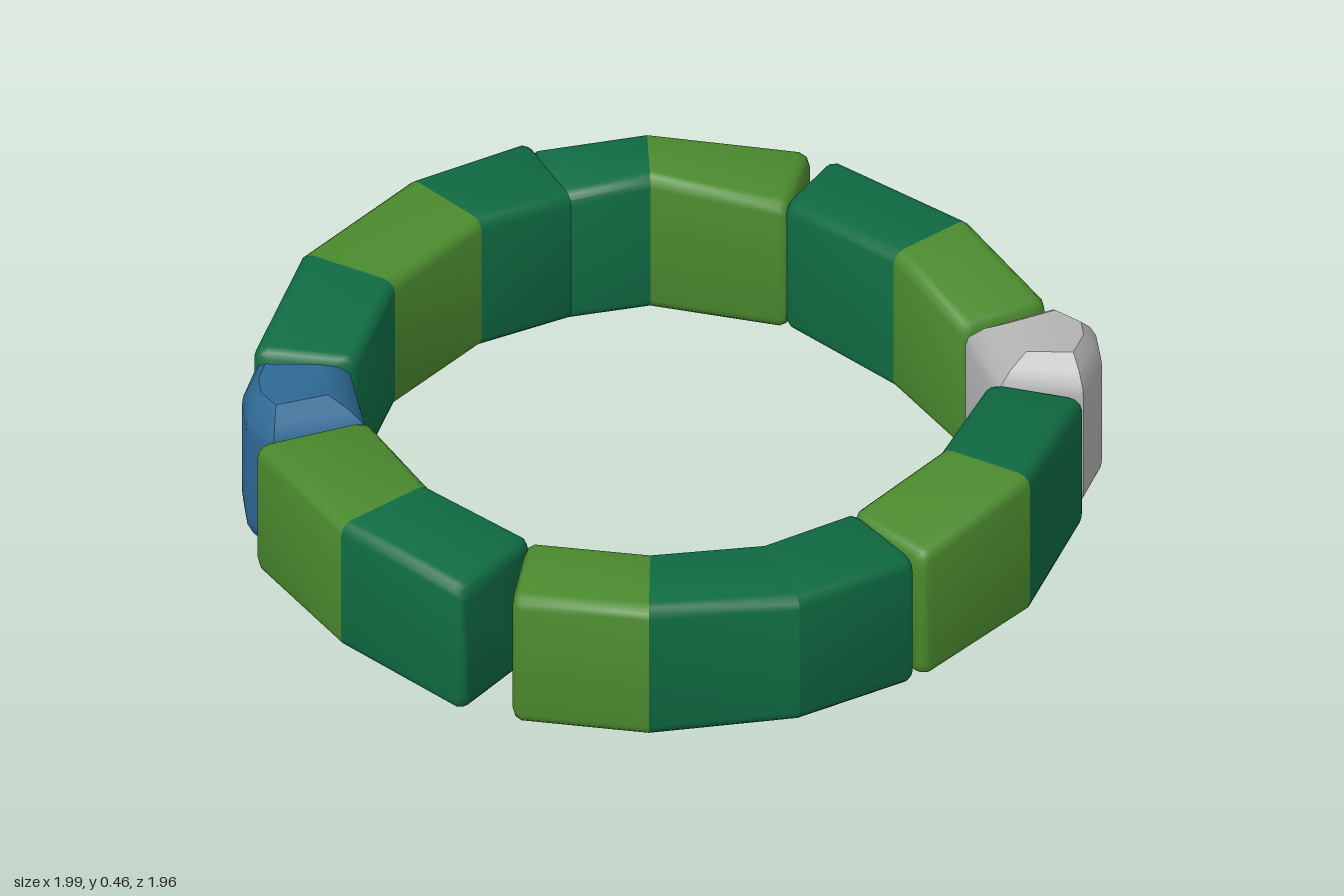
import * as THREE from 'three';
import { toCreasedNormals } from 'three/addons/utils/BufferGeometryUtils.js';

const material = (name, color) => {
  const m = new THREE.MeshStandardMaterial({ color });
  m.name = name;
  return m;
};

// Closed solid skinned over equal-length loops of points, with capped ends.
function skin(loops, crease) {
  const n = loops[0].length, tris = [];
  for (let i = 0; i < loops.length - 1; i++) {
    for (let j = 0; j < n; j++) {
      const k = (j + 1) % n, [a, b] = [loops[i], loops[i + 1]];
      tris.push([a[j], b[j], b[k]], [a[j], b[k], a[k]]);
    }
  }
  const first = loops[0], last = loops[loops.length - 1];
  for (let j = 1; j < n - 1; j++) {
    tris.push([first[0], first[j], first[j + 1]], [last[0], last[j + 1], last[j]]);
  }
  // turn the faces outward whatever the loop direction
  const centre = new THREE.Vector3();
  loops.flat().forEach((p) => centre.add(p));
  centre.divideScalar(loops.length * n);
  const d = (p) => p.clone().sub(centre);
  const volume = tris.reduce((s, [a, b, c]) => s + d(a).dot(d(b).cross(d(c))), 0);
  const points = tris.flatMap(([a, b, c]) => (volume > 0 ? [a, b, c] : [a, c, b]));
  return toCreasedNormals(new THREE.BufferGeometry().setFromPoints(points), crease);
}

// Rounded upright section at a station: outer x, z, inner x, z, half height.
function section([ox, oz, ix, iz, half], inset) {
  const mid = new THREE.Vector2((ox + ix) / 2, (oz + iz) / 2);
  const dir = new THREE.Vector2(ox - ix, oz - iz);
  const w = dir.length() / 2 - inset, h = half - inset, r = 0.032;
  dir.normalize();
  const loop = [];
  [[1, 1], [-1, 1], [-1, -1], [1, -1]].forEach(([sx, sy], q) => {
    for (let i = 0; i <= 3; i++) {
      const a = (q + i / 3) * Math.PI / 2;
      const u = sx * (w - r) + r * Math.cos(a);
      const v = sy * (h - r) + r * Math.sin(a);
      loop.push(new THREE.Vector3(mid.x + dir.x * u, 0.224 + v, mid.y + dir.y * u));
    }
  });
  return loop;
}

// Ring block between two stations; free ends are rounded, joined ends stay full.
function blockGeometry(start, end, freeStart, freeEnd) {
  const at = (t, inset) => section(start.map((v, i) => v + (end[i] - v) * t), inset);
  const rounding = [[0, 0.02], [0.025, 0.006], [0.07, 0]];
  const head = freeStart ? rounding.map(([t, s]) => at(t, s)) : [at(0, 0)];
  const tail = freeEnd ? rounding.map(([t, s]) => at(1 - t, s)).reverse() : [at(1, 0)];
  return skin([...head, ...tail], 0.75);
}

// Accent bead: an outline stacked upward, drawn in toward its crown at both ends.
function beadGeometry(outline, [cx, cz], y0, y1) {
  const rings = [[0, 0.55], [0.03, 0.8], [0.065, 0.97], [0.09, 1]];
  const loop = (y, s) => outline.map(([x, z]) =>
    new THREE.Vector3(cx + (x - cx) * s, y, cz + (z - cz) * s));
  return skin([
    ...rings.map(([d, s]) => loop(y0 + d, s)),
    ...rings.slice().reverse().map(([d, s]) => loop(y1 - d, s)),
  ], 0.6);
}

export function createModel() {
  const group = new THREE.Group();
  group.name = 'blockRing';
  const dark = material('dark green', 0x0f6b43);
  const light = material('leaf green', 0x4b8a2e);
  const blue = material('blue', 0x2f6a96);
  const grey = material('light grey', 0xb2b2b2);
  const add = (name, geometry, mat) => {
    const mesh = new THREE.Mesh(geometry, mat);
    mesh.name = name;
    group.add(mesh);
  };

  // A run of joined blocks, one colour between each pair of stations
  const addRun = (name, colors, ...stations) => colors.forEach((mat, i) => add(
    `${name}${mat === dark ? 'Dark' : 'Leaf'}Block${i + 1}`,
    blockGeometry(stations[i], stations[i + 1], i === 0, i === colors.length - 1), mat));

  addRun('back', [dark, light],
    [-0.43, -0.91, -0.35, -0.69, 0.186], [0, -0.985, 0, -0.75, 0.203],
    [0.365, -0.935, 0.315, -0.7, 0.186]);
  addRun('backLeft', [dark, light],
    [0.73, -0.75, 0.53, -0.61, 0.186], [0.92, -0.42, 0.69, -0.33, 0.203],
    [0.995, -0.03, 0.735, -0.015, 0.186]);
  addRun('frontLeft', [dark, dark, light],
    [0.99, -0.01, 0.735, -0.02, 0.186], [0.94, 0.315, 0.695, 0.23, 0.183],
    [0.75, 0.63, 0.56, 0.47, 0.19], [0.5, 0.855, 0.33, 0.665, 0.186]);
  addRun('front', [dark, light],
    [0.395, 0.925, 0.33, 0.65, 0.186], [0, 0.975, 0, 0.7, 0.184],
    [-0.395, 0.925, -0.3, 0.645, 0.186]);
  addRun('frontRight', [dark, light, dark],
    [-0.69, 0.69, -0.5, 0.52, 0.186], [-0.93, 0.335, -0.69, 0.24, 0.187],
    [-1, -0.06, -0.75, -0.08, 0.19], [-0.95, -0.385, -0.69, -0.33, 0.186]);
  addRun('backRight', [dark, light],
    [-0.92, -0.36, -0.7, -0.3, 0.186], [-0.78, -0.62, -0.62, -0.5, 0.197],
    [-0.48, -0.89, -0.33, -0.69, 0.186]);

  // Two taller accent beads on opposite sides
  add('greyBead', beadGeometry(
    [[0.39, -0.92], [0.53, -0.95], [0.61, -0.9], [0.685, -0.78], [0.55, -0.625], [0.335, -0.7]],
    [0.54, -0.83], 0, 0.455), grey);
  add('blueBead', beadGeometry(
    [[-0.5, 0.53], [-0.3, 0.645], [-0.385, 0.87], [-0.5, 0.86], [-0.59, 0.8], [-0.655, 0.71]],
    [-0.51, 0.75], 0.015, 0.447), blue);
  return group;
}
